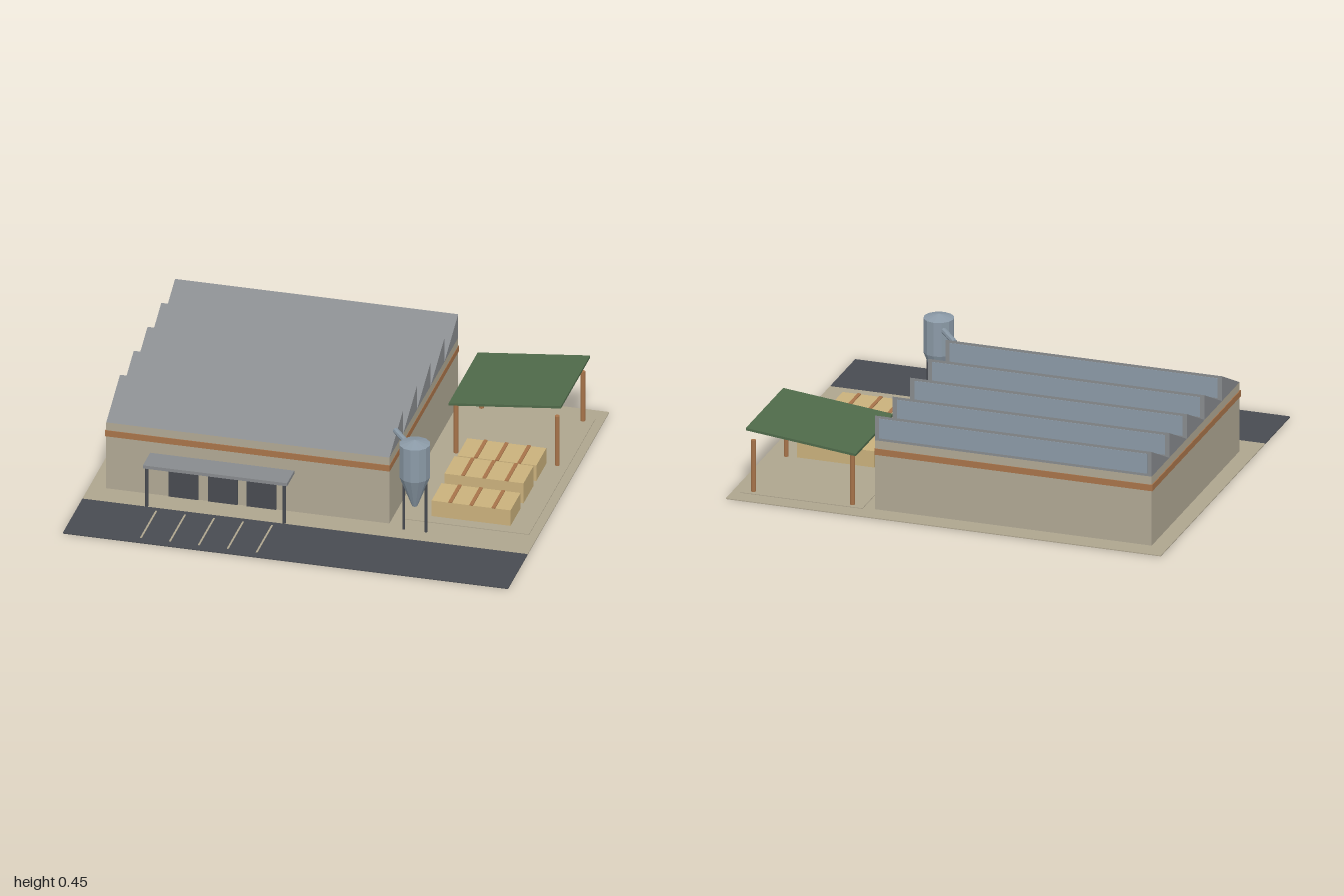
import * as THREE from 'three';

const mat = (name, color, extra = {}) => {
  const m = new THREE.MeshStandardMaterial({ color, ...extra });
  m.name = name;
  return m;
};

export function createModel() {
  const group = new THREE.Group();
  const ground = mat('sand ground', 0xaea58e);
  const wall = mat('wall plaster', 0xb0a894);
  const dark = mat('asphalt and dark metal', 0x484b51);
  const roofGrey = mat('roof grey', 0x888b8e);
  const steel = mat('blue steel', 0x8b9aa7);
  const wood = mat('brown wood', 0xa8744a);
  const lumber = mat('lumber', 0xcab17c);
  const green = mat('green roof', 0x4f6a4a);
  steel.flatShading = true;

  const add = (name, geometry, material) => {
    const m = new THREE.Mesh(geometry, material);
    m.name = name;
    group.add(m);
    return m;
  };
  // Box given by its minimum and maximum corners
  const box = (name, material, x0, x1, y0, y1, z0, z1) => {
    const m = add(name, new THREE.BoxGeometry(x1 - x0, y1 - y0, z1 - z0), material);
    m.position.set((x0 + x1) / 2, (y0 + y1) / 2, (z0 + z1) / 2);
    return m;
  };
  const post = (name, material, x, z, y0, y1, r) => {
    const m = add(name, new THREE.CylinderGeometry(r, r, y1 - y0, 8), material);
    m.position.set(x, (y0 + y1) / 2, z);
    return m;
  };

  // Site: sandy plot, asphalt road, storage yard and parking lines
  box('plot', ground, -1, 1, 0, 0.004, -0.85, 0.52);
  box('road', dark, -1, 1, 0, 0.004, 0.52, 0.85);
  box('yard', ground, 0.4, 0.96, 0.004, 0.007, -0.77, 0.346);
  for (let i = 0; i < 5; i++) {
    const x = -0.66 + i * 0.13;
    box('parkingLine', ground, x - 0.004, x + 0.004, 0.004, 0.006, 0.55, 0.81);
  }

  // Hall with a timber band around the walls
  const X0 = -0.925, X1 = 0.347, Z0 = -0.755, Z1 = 0.4;
  box('hallWalls', wall, X0, X1, 0.004, 0.327, Z0, Z1);
  box('timberBand', wood, X0 - 0.004, X1 + 0.002, 0.26, 0.289, Z0 - 0.003, Z1 + 0.003);

  // Sawtooth roof: each tooth rises to a glazed face at its back
  const teeth = 5, depth = (Z1 - Z0) / teeth, low = 0.327, high = 0.443;
  for (let i = 0; i < teeth; i++) {
    const front = Z1 - i * depth, back = front - depth;
    const profile = new THREE.Shape([
      new THREE.Vector2(-front, low),
      new THREE.Vector2(-back, low),
      new THREE.Vector2(-back, high),
    ]);
    const geo = new THREE.ExtrudeGeometry(profile, { depth: X1 - X0, bevelEnabled: false });
    geo.rotateY(Math.PI / 2); // profile x becomes -z, depth becomes x
    geo.translate(X0, 0, 0);
    add('roofTooth', geo, roofGrey);
    box('roofGlazing', steel, X0 + 0.02, X1 - 0.02, low + 0.012, high - 0.012, back - 0.002, back + 0.001);
  }

  // Loading doors and entrance canopy
  for (const x of [-0.577, -0.4, -0.227])
    box('loadingDoor', dark, x - 0.066, x + 0.066, 0.004, 0.17, 0.399, 0.405);
  box('canopy', roofGrey, -0.728, -0.08, 0.19, 0.205, 0.4, 0.522);
  for (const x of [-0.713, -0.095]) post('canopyPost', dark, x, 0.513, 0.004, 0.19, 0.008);

  // Dust silo on two legs with a duct into the hall
  const SX = 0.47, SZ = 0.434;
  const siloProfile = [[0, 0.126], [0.012, 0.126], [0.068, 0.272], [0.068, 0.43], [0, 0.449]];
  const silo = add('silo', new THREE.LatheGeometry(siloProfile.map(p => new THREE.Vector2(...p)), 12), steel);
  silo.position.set(SX, 0, SZ);
  for (const s of [-1, 1]) post('siloLeg', dark, SX + s * 0.05, SZ, 0.004, 0.28, 0.006);
  const duct = new THREE.LineCurve3(new THREE.Vector3(0.34, 0.393, 0.27), new THREE.Vector3(SX, 0.393, SZ));
  const ductMesh = add('duct', new THREE.TubeGeometry(duct, 1, 0.013, 8), steel);
  ductMesh.material = mat('blue steel open', 0x8b9aa7, { side: THREE.DoubleSide });
  // Share one steel material across silo, duct and glazing
  ductMesh.material = steel;
  steel.side = THREE.DoubleSide;

  // Open shelter with a sloping green roof
  const shelter = new THREE.Shape([
    new THREE.Vector2(0.43, 0.247), new THREE.Vector2(0.935, 0.301),
    new THREE.Vector2(0.935, 0.312), new THREE.Vector2(0.43, 0.258),
  ]);
  const shelterGeo = new THREE.ExtrudeGeometry(shelter, { depth: 0.49, bevelEnabled: false });
  shelterGeo.translate(0, 0, -0.772);
  add('shelterRoof', shelterGeo, green);
  for (const x of [0.456, 0.911])
    for (const z of [-0.31, -0.74]) post('shelterPost', wood, x, z, 0.004, 0.248, 0.011);

  // Lumber stacks with cross battens on top
  for (const [z, h] of [[0.207, 0.083], [-0.01, 0.105], [-0.226, 0.083]]) {
    box('lumberStack', lumber, 0.507, 0.862, 0.006, h, z - 0.084, z + 0.084);
    for (const x of [0.59, 0.685, 0.785])
      box('batten', wood, x - 0.008, x + 0.008, h - 0.002, h + 0.004, z - 0.084, z + 0.084);
  }

  return group;
}
